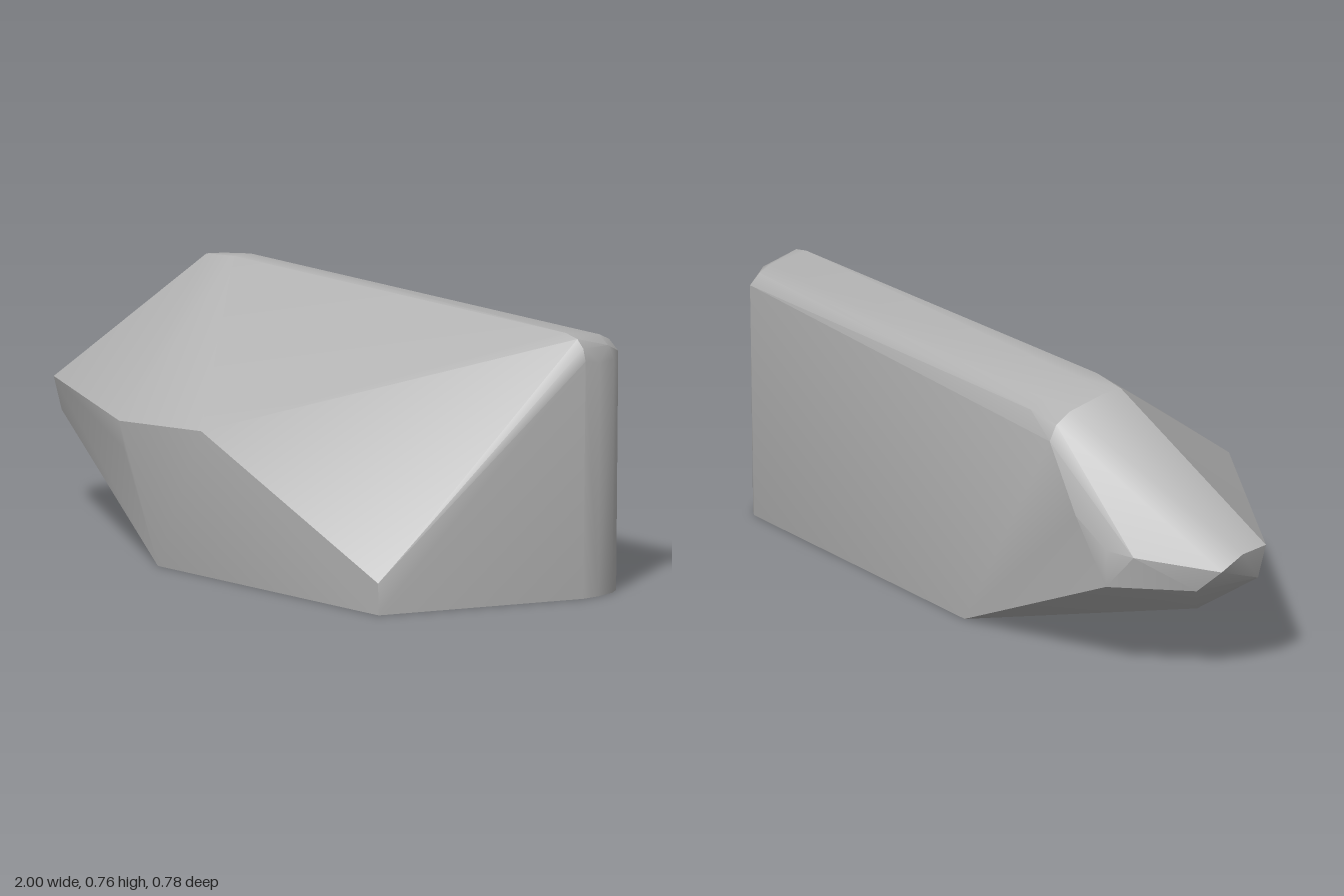
import * as THREE from 'three';
import { ConvexGeometry } from 'three/addons/geometries/ConvexGeometry.js';
import { toCreasedNormals } from 'three/addons/utils/BufferGeometryUtils.js';

export function createModel() {
  const group = new THREE.Group();
  group.name = 'wedgeBlock';
  const stone = new THREE.MeshStandardMaterial({ color: 0xb3b3b3 });
  stone.name = 'grey';

  // Corner groups of the block
  const front = [
    [0.82, 0, 0.38], [0.82, 0.09, 0.382], [0.06, 0.41, 0.39], [-0.3, 0.387, 0.387],
    [-0.28, 0.31, 0.385], [-0.14, 0, 0.38],
  ];
  const tip = [
    [-0.98, 0.375, 0.06], [-0.97, 0.28, 0.04], [-1, 0.37, -0.03], [-1, 0.33, -0.1],
    [-0.95, 0.27, -0.15], [-0.83, 0.17, -0.07], [-0.86, 0.37, -0.3], [-0.78, 0.27, -0.34],
    [-0.79, 0.38, -0.345], [-0.69, 0.46, -0.38],
  ];
  const back = [[-0.14, 0, -0.385], [-0.57, 0.645, -0.387], [0.93, 0.67, -0.39]];

  // Rounded upper edge, from its high end to its low end
  const ridge = [
    [-0.57, 0.755, -0.15], [-0.57, 0.75, -0.21], [-0.57, 0.72, -0.32], [-0.57, 0.69, -0.365],
    [-0.45, 0.765, -0.15], [-0.45, 0.765, -0.21], [-0.45, 0.727, -0.33], [-0.45, 0.7, -0.37],
    [0.92, 0.74, -0.21], [0.97, 0.73, -0.21], [0.92, 0.722, -0.33], [0.92, 0.705, -0.365],
    [0.99, 0.705, -0.215], [0.97, 0.7, -0.32], [1, 0.67, -0.215],
  ];

  // Rounded upright corner at the back
  const upright = [];
  for (const [x, z] of [[0.99, -0.215], [0.988, -0.27], [0.97, -0.335], [0.945, -0.37], [0.915, -0.387]]) {
    upright.push([x, 0, z], [x + 0.008, 0.66, z]);
  }

  const points = [...front, ...tip, ...back, ...ridge, ...upright].map((p) => new THREE.Vector3(...p));
  const body = new THREE.Mesh(toCreasedNormals(new ConvexGeometry(points), 0.6), stone);
  body.name = 'body';
  group.add(body);
  return group;
}
